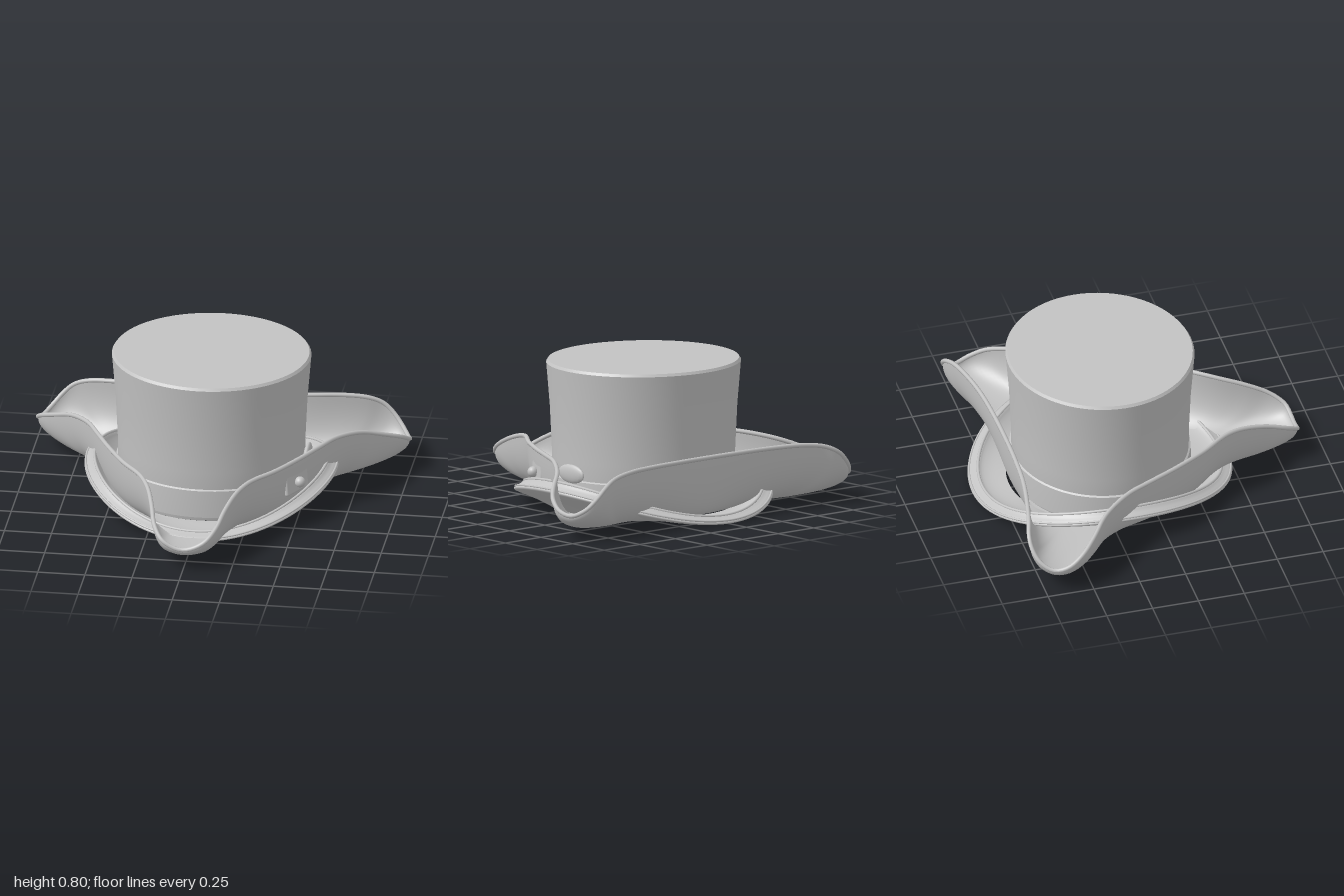
import * as THREE from 'three';
import { toCreasedNormals } from 'three/addons/utils/BufferGeometryUtils.js';
import { RoundedBoxGeometry } from 'three/addons/geometries/RoundedBoxGeometry.js';

const CZ = -0.187; // z of the crown axis
const felt = new THREE.MeshStandardMaterial({ color: 0xc2c2c2, side: THREE.DoubleSide });
felt.name = 'grey felt';

const add = (parent, name, geometry) => {
  const mesh = new THREE.Mesh(geometry, felt);
  mesh.name = name;
  parent.add(mesh);
  return mesh;
};

// Grid surface from rule(u, v), closed around u
function loopSurface(rule, nu, nv) {
  const pos = [], index = [];
  for (let i = 0; i < nu; i++)
    for (let j = 0; j <= nv; j++) pos.push(...rule(i / nu, j / nv).toArray());
  for (let i = 0; i < nu; i++)
    for (let j = 0; j < nv; j++) {
      const a = i * (nv + 1) + j, b = ((i + 1) % nu) * (nv + 1) + j;
      index.push(a, b, a + 1, b, b + 1, a + 1);
    }
  const g = new THREE.BufferGeometry();
  g.setAttribute('position', new THREE.Float32BufferAttribute(pos, 3));
  g.setIndex(index);
  g.computeVertexNormals();
  return g;
}

// Closed tube along rule(u)
function loopTube(rule, n, radius) {
  const pts = Array.from({ length: n }, (_, i) => rule(i / n));
  return new THREE.TubeGeometry(new THREE.CatmullRomCurve3(pts, true), n * 2, radius, 8, true);
}

// Slightly oval turned part around the crown axis
function turned(parent, name, profile) {
  const points = profile.map(p => new THREE.Vector2(...p));
  const mesh = add(parent, name, toCreasedNormals(new THREE.LatheGeometry(points, 72), 0.5));
  mesh.scale.z = 0.943;
  mesh.position.z = CZ;
}

export function createModel() {
  const hat = new THREE.Group();
  hat.name = 'hat';

  // Crown: hollow underneath, flaring slightly toward the flat top
  turned(hat, 'crown', [[0, 0.28], [0.435, 0.28], [0.475, 0.024], [0.482, 0.024], [0.492, 0.06], [0.493, 0.3],
    [0.505, 0.55], [0.525, 0.785], [0.515, 0.799], [0, 0.8]]);
  turned(hat, 'hatBand', [[0.505, 0.05], [0.505, 0.13], [0.502, 0.2], [0.49, 0.208]]);

  // Round lower brim, swept up at the sides: underside, rolled edge, raised ridge, top side
  const section = new THREE.CatmullRomCurve3([
    [0.475, 0.014, 0], [0.57, 0.006, 0.08], [0.645, 0.005, 0.135], [0.668, 0.012, 0.15], [0.66, 0.026, 0.15],
    [0.635, 0.037, 0.155], [0.615, 0.045, 0.165], [0.595, 0.035, 0.14], [0.55, 0.028, 0.085],
    [0.475, 0.03, 0.01]].map(p => new THREE.Vector3(...p)));
  const brimPoint = (u, v) => {
    const a = u * Math.PI * 2, p = section.getPoint(v); // radius, height, side lift
    return new THREE.Vector3(p.x * Math.sin(a), p.y + p.z * Math.sin(a) ** 2, CZ + p.x * 1.045 * Math.cos(a));
  };
  add(hat, 'roundBrim', loopSurface(brimPoint, 96, 27));
  add(hat, 'roundBrimTrim', loopTube(u => brimPoint(u, 4 / 9), 64, 0.006));
  add(hat, 'roundBrimRidge', loopTube(u => brimPoint(u, 6 / 9), 64, 0.008));

  // Three-cornered brim: half of its edge, mirrored
  const half = [[0, 0.122, 0.872], [0.055, 0.134, 0.87], [0.115, 0.167, 0.855], [0.163, 0.217, 0.785],
    [0.193, 0.27, 0.67], [0.235, 0.312, 0.53], [0.29, 0.331, 0.42], [0.4, 0.332, 0.27], [0.51, 0.332, 0.08],
    [0.59, 0.332, -0.08], [0.66, 0.328, -0.22], [0.77, 0.298, -0.37], [0.88, 0.25, -0.465], [0.955, 0.207, -0.545],
    [0.986, 0.16, -0.63], [0.968, 0.14, -0.705], [0.925, 0.175, -0.77], [0.875, 0.23, -0.8],
    [0.82, 0.28, -0.803], [0.74, 0.315, -0.782], [0.6, 0.333, -0.752], [0.42, 0.335, -0.722],
    [0.2, 0.335, -0.708], [0, 0.335, -0.705]];
  const mirrored = half.slice(1, -1).reverse().map(([x, y, z]) => [-x, y, z]);
  const edge = new THREE.CatmullRomCurve3([...half, ...mirrored].map(p => new THREE.Vector3(...p)), true);
  // Cross-sections run flat outward from the crown, then turn up to the edge
  const flapPoint = (u, v) => {
    const e = edge.getPoint(u), a = Math.atan2(e.x, e.z - CZ), t = v * Math.PI / 2;
    const bx = 0.478 * Math.sin(a), bz = CZ + 0.455 * Math.cos(a);
    const out = Math.sin(t) ** 0.8, up = 1 - Math.max(0, Math.cos(t)) ** 0.8;
    return new THREE.Vector3(bx + (e.x - bx) * out, 0.024 + (e.y - 0.024) * up, bz + (e.z - bz) * out);
  };
  add(hat, 'corneredBrim', loopSurface(flapPoint, 184, 20));
  add(hat, 'corneredBrimTrim', loopTube(u => flapPoint(u, 1), 138, 0.012));

  // Button on its rounded tab, on the left flap
  const button = new THREE.Group();
  button.name = 'button';
  button.position.set(0.488, 0.207, 0.098);
  button.rotation.set(-0.1, 1.08, 0, 'YXZ');
  hat.add(button);
  add(button, 'buttonTab', new RoundedBoxGeometry(0.19, 0.115, 0.026, 5, 0.013));
  add(button, 'buttonKnob', new THREE.SphereGeometry(0.029, 20, 14)).position.z = 0.028;

  // Small clasp on the crown, behind the same flap
  const clasp = add(hat, 'crownClasp', new THREE.SphereGeometry(1, 16, 10));
  clasp.scale.set(0.02, 0.05, 0.1);
  clasp.position.set(0.51, 0.24, -0.19);

  return hat;
}
